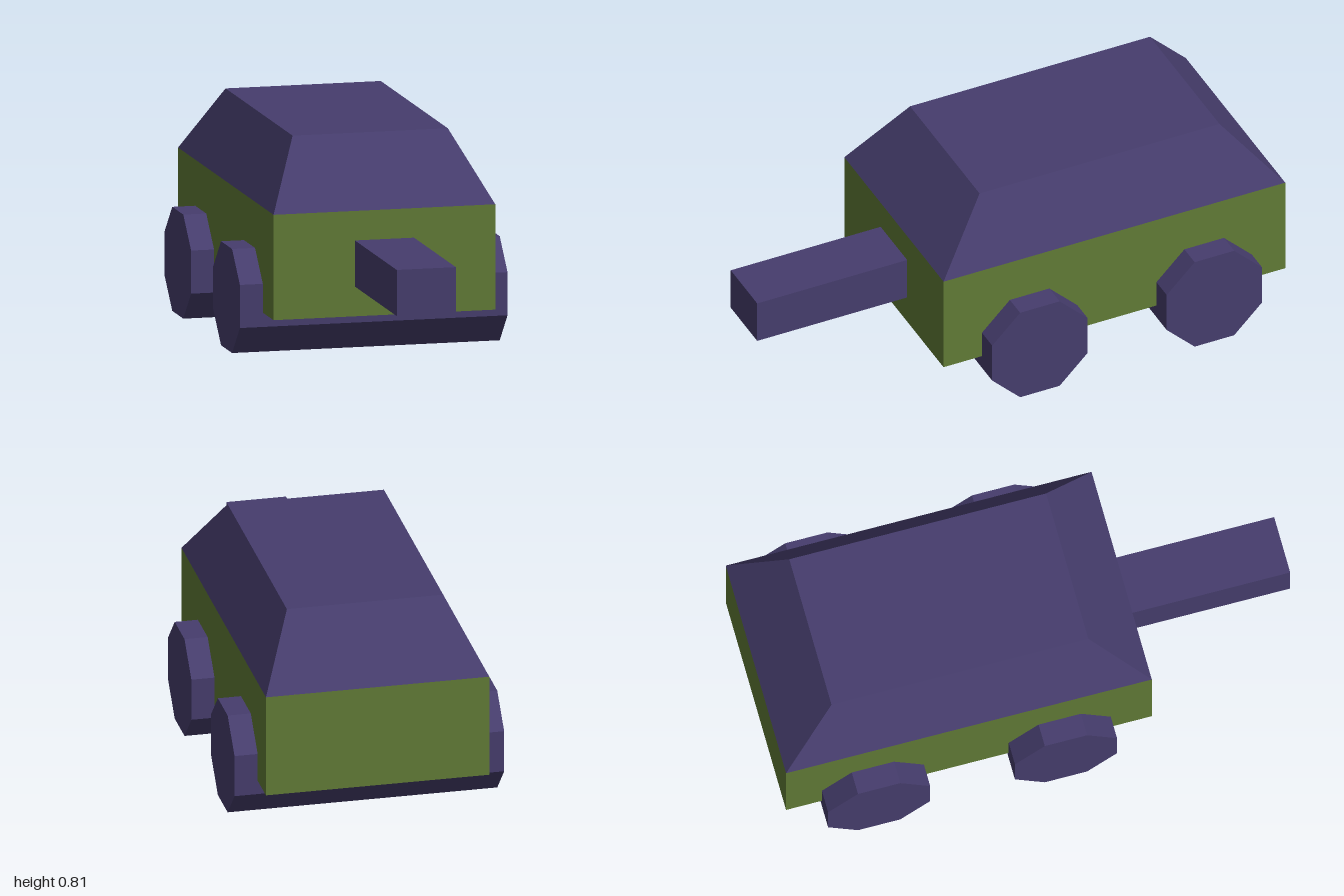
import * as THREE from 'three';

const purple = new THREE.MeshStandardMaterial({ color: 0x463d6d, flatShading: true });
const green = new THREE.MeshStandardMaterial({ color: 0x617b36, flatShading: true });

// Box given by its min and max corners
function block(name, min, max, material) {
  const size = max.map((v, i) => v - min[i]);
  const mesh = new THREE.Mesh(new THREE.BoxGeometry(...size), material);
  mesh.position.set(...max.map((v, i) => (v + min[i]) / 2));
  mesh.name = name;
  return mesh;
}

export function createModel() {
  const model = new THREE.Group();
  model.name = 'wagon';

  // Body and the bar at its front
  model.add(block('body', [-0.42, 0.167, -1], [0.42, 0.56, 0.39], green));
  model.add(block('frontBar', [-0.112, 0.278, 0.39], [0.112, 0.45, 1], purple));

  // Roof: a box whose top is drawn in on all four sides
  const roof = block('roof', [-0.42, 0.56, -1], [0.42, 0.812, 0.39], purple);
  const pos = roof.geometry.attributes.position;
  for (let i = 0; i < pos.count; i++) {
    if (pos.getY(i) > 0) {
      pos.setX(i, Math.sign(pos.getX(i)) * 0.294);
      pos.setZ(i, Math.sign(pos.getZ(i)) * 0.488);
    }
  }
  roof.geometry.computeVertexNormals();
  model.add(roof);

  // Octagonal wheel rollers spanning the full width, resting on a flat
  const apothem = 0.194;
  const radius = apothem / Math.cos(Math.PI / 8);
  for (const [name, z] of [['frontWheels', 0.04], ['backWheels', -0.67]]) {
    const geometry = new THREE.CylinderGeometry(radius, radius, 1.014, 8, 1, false, Math.PI / 8);
    geometry.rotateZ(Math.PI / 2);
    const wheels = new THREE.Mesh(geometry, purple);
    wheels.position.set(0, apothem, z);
    wheels.name = name;
    model.add(wheels);
  }

  return model;
}
